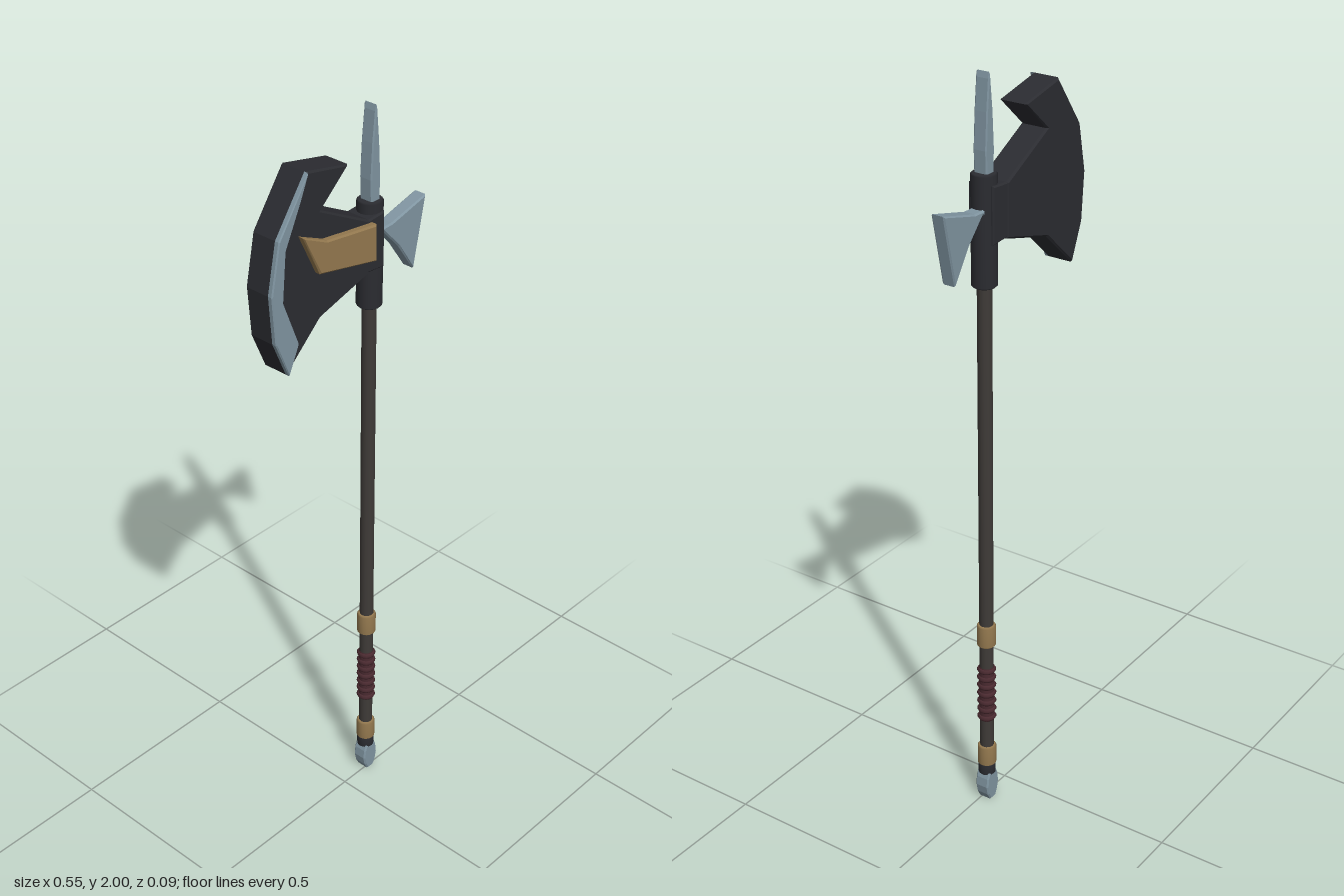
import * as THREE from 'three';

const AX = 0.095, AZ = -0.009; // shaft axis
const mat = (color, flatShading = false) => new THREE.MeshStandardMaterial({ color, flatShading });
const iron = mat(0x2b2c31, true), steel = mat(0x8095a1, true), brass = mat(0x94794f, true);
const bands = mat(0x94794f), wood = mat(0x3f3b38), leather = mat(0x4a2a30), collarIron = mat(0x2b2c31);

export function createModel() {
  const group = new THREE.Group();
  group.name = 'battleAxe';

  const add = (name, geometry, material, x = 0, y = 0, z = 0) => {
    const mesh = new THREE.Mesh(geometry, material);
    mesh.name = name;
    mesh.position.set(x, y, z);
    group.add(mesh);
    return mesh;
  };

  // Flat outline in x and y, thickened from z0 to z1 with a small bevel inside the outline
  const plate = (name, points, z0, z1, material, bevel = 0.004) => {
    const shape = new THREE.Shape(points.map(([x, y]) => new THREE.Vector2(x, y)));
    const geometry = new THREE.ExtrudeGeometry(shape, {
      depth: z1 - z0 - 2 * bevel, bevelEnabled: bevel > 0, bevelThickness: bevel,
      bevelSize: bevel, bevelOffset: -bevel, bevelSegments: 1,
    });
    return add(name, geometry, material, 0, 0, z0 + bevel);
  };

  // Round part on the shaft axis, with softened rims
  const ring = (name, y0, y1, r, material, rim = 0.004) => {
    const pts = [[0, y0], [r - rim, y0], [r, y0 + rim], [r, y1 - rim], [r - rim, y1], [0, y1]];
    const geometry = new THREE.LatheGeometry(pts.map(([x, y]) => new THREE.Vector2(x, y)), 16);
    return add(name, geometry, material, AX, 0, AZ);
  };

  // Shaft and the collar that carries the head
  add('shaft', new THREE.CylinderGeometry(0.0185, 0.0185, 1.46, 12), wood, AX, 0.8, AZ);
  ring('collar', 1.485, 1.765, 0.032, collarIron);
  plate('bladeSocket', [[0.045, 1.6], [0.108, 1.595], [0.108, 1.74], [0.045, 1.735]], -0.045, 0.027, iron);

  // Main blade with its hooked upper horn
  const edge = [[-0.156, 1.93], [-0.251, 1.798], [-0.277, 1.671], [-0.267, 1.544], [-0.226, 1.447]];
  plate('blade', [
    [0.055, 1.735], [-0.108, 1.82], [-0.018, 1.9], ...edge, [-0.113, 1.549], [0.055, 1.597],
  ], -0.047, 0.028, iron, 0.005);

  // Bright cutting edge and inlay on the front face
  plate('cuttingEdge', [
    ...edge, [-0.192, 1.518], [-0.24, 1.642], [-0.229, 1.768], [-0.18, 1.868],
  ], 0.02, 0.036, steel, 0.003);
  plate('inlay', [
    [-0.183, 1.785], [-0.105, 1.75], [0.062, 1.728], [0.062, 1.633], [-0.129, 1.674],
  ], 0.02, 0.045, brass, 0.004);

  // Rear fluke and top spike
  plate('rearFluke', [
    [0.105, 1.695], [0.125, 1.683], [0.155, 1.684], [0.275, 1.715], [0.235, 1.533], [0.18, 1.613], [0.125, 1.672], [0.105, 1.66],
  ], -0.028, 0.009, steel);
  plate('topSpike', [
    [0.081, 1.74], [0.078, 1.82], [0.083, 1.91], [0.091, 1.985], [0.095, 2],
    [0.099, 1.985], [0.106, 1.91], [0.111, 1.82], [0.108, 1.74],
  ], -0.027, 0.01, steel, 0.003);

  // Wrapped grip between two bands
  ring('upperBand', 0.483, 0.547, 0.025, bands);
  ring('lowerBand', 0.11, 0.17, 0.025, bands);
  ring('gripCore', 0.25, 0.42, 0.02, leather);
  for (let i = 0; i < 7; i++) {
    const wrap = add('gripWrap', new THREE.TorusGeometry(0.0175, 0.008, 6, 16), leather, AX, 0.262 + i * 0.0245, AZ);
    wrap.rotation.x = Math.PI / 2;
  }

  // Butt ferrule and pommel
  ring('ferrule', 0.078, 0.115, 0.023, collarIron);
  const half = [[0.011, 0], [0.021, 0.02], [0.026, 0.045], [0.023, 0.07], [0.016, 0.088]];
  const pommel = [
    ...half.map(([x, y]) => [AX + x, y]),
    ...half.slice().reverse().map(([x, y]) => [AX - x, y]),
  ];
  plate('pommel', pommel, AZ - 0.02, AZ + 0.02, steel);

  return group;
}
